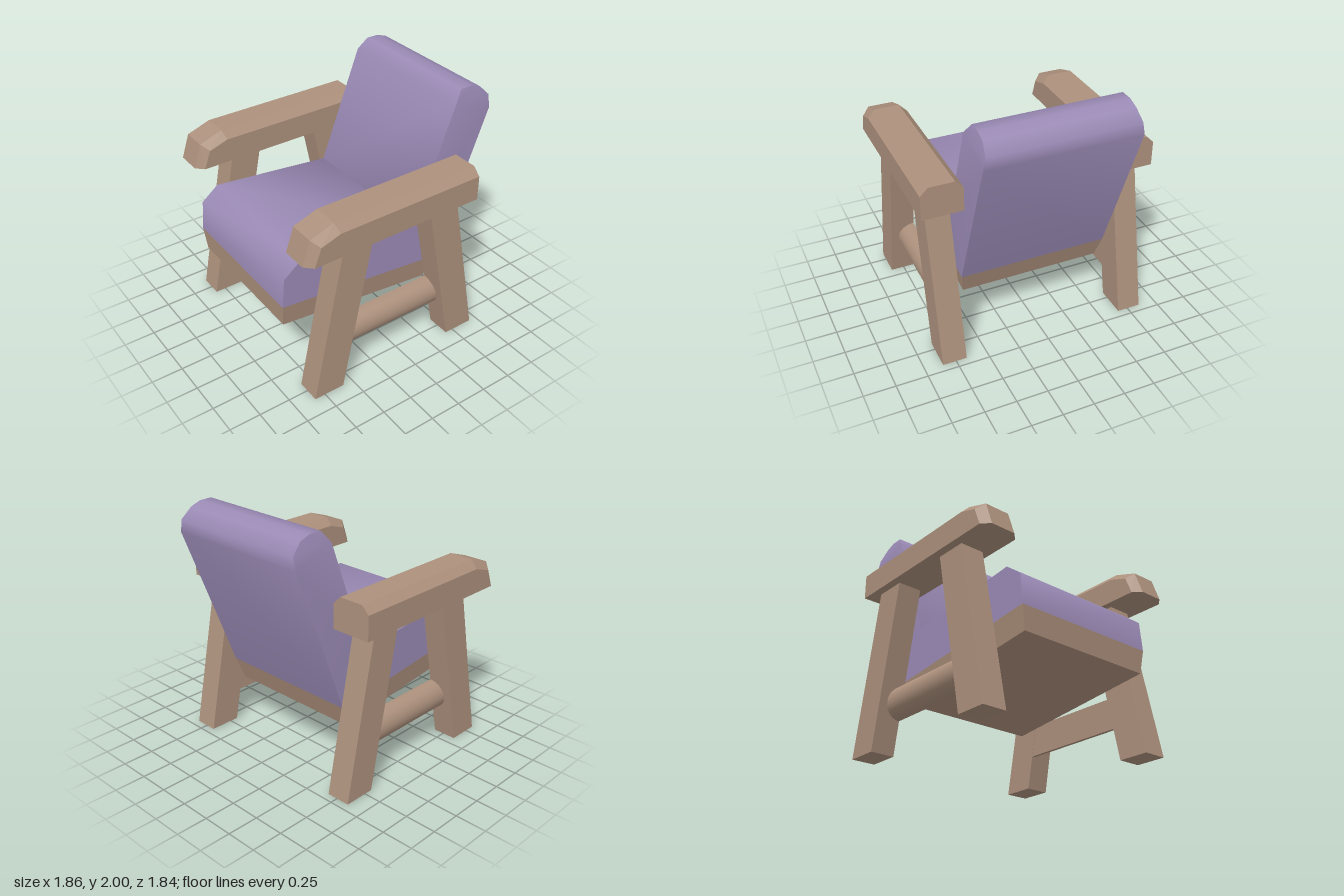
import * as THREE from 'three';
import { toCreasedNormals } from 'three/addons/utils/BufferGeometryUtils.js';
import { ConvexGeometry } from 'three/addons/geometries/ConvexGeometry.js';

const fabric = new THREE.MeshStandardMaterial({ name: 'lilac fabric', color: 0x9a8ab5 });
const wood = new THREE.MeshStandardMaterial({ name: 'brown wood', color: 0xac907c });

function addMesh(parent, name, geometry, material) {
  const mesh = new THREE.Mesh(geometry, material);
  mesh.name = name;
  parent.add(mesh);
  return mesh;
}

// Extrudes an x/y outline between two z positions
function slab(points, z0, z1) {
  const shape = new THREE.Shape(points.map(([x, y]) => new THREE.Vector2(x, y)));
  const g = new THREE.ExtrudeGeometry(shape, { depth: z1 - z0, bevelEnabled: false });
  return g.translate(0, 0, z0);
}

// Convex solid from [x, y, halfWidth] points mirrored about z = centre
function solid(points, centre = 0) {
  return new ConvexGeometry(points.flatMap(([x, y, w]) => [
    new THREE.Vector3(x, y, centre - w),
    new THREE.Vector3(x, y, centre + w),
  ]));
}

export function createModel() {
  const model = new THREE.Group();
  model.name = 'armchair';

  // Seat cushion with a rounded front edge
  const seat = slab([
    [-0.93, 0.75], [0.465, 0.6], [0.24, 0.995], [-0.77, 1.1], [-0.91, 0.99],
  ], -0.6, 0.6);
  addMesh(model, 'seatCushion', toCreasedNormals(seat, 0.95), fabric);

  // Leaning back cushion, rounded at the top with slightly cut corners
  const back = solid([
    [0.465, 0.6, 0.6], [0.24, 0.995, 0.6], [0.59, 1.91, 0.6],
    [0.66, 2, 0.565], [0.76, 2, 0.565], [0.845, 1.97, 0.565],
    [0.925, 1.89, 0.58], [0.925, 1.79, 0.6],
  ]);
  addMesh(model, 'backCushion', toCreasedNormals(back, 0.95), fabric);

  // Tapered wooden base under the seat
  addMesh(model, 'seatBase', solid([
    [-0.93, 0.75, 0.6], [0.465, 0.6, 0.6], [0.4, 0.42, 0.57], [-0.915, 0.565, 0.57],
  ]), wood);

  // Both side frames
  for (const side of [1, -1]) {
    const frame = new THREE.Group();
    frame.name = side > 0 ? 'leftFrame' : 'rightFrame';
    model.add(frame);

    // Armrest with chamfered top edges and front end
    addMesh(frame, 'armrest', solid([
      [0.57, 1.275, 0.16], [0.57, 1.47, 0.16], [0.57, 1.53, 0.1],
      [-0.665, 1.53, 0.1], [-0.855, 1.465, 0.1], [-0.92, 1.275, 0.1],
      [-0.86, 1.275, 0.16], [-0.805, 1.42, 0.16], [-0.65, 1.47, 0.16],
    ], side * 0.76), wood);

    // Slanted legs
    const zs = side > 0 ? [0.665, 0.857] : [-0.857, -0.665];
    addMesh(frame, 'frontLeg', slab([
      [-0.837, 0], [-0.585, 0], [-0.33, 1.275], [-0.582, 1.275],
    ], ...zs), wood);
    addMesh(frame, 'rearLeg', slab([
      [0.433, 0], [0.687, 0], [0.432, 1.275], [0.18, 1.275],
    ], ...zs), wood);

    // Half-round stretcher, flat on the inside
    const half = new THREE.Shape();
    half.absarc(0, 0, 0.125, -Math.PI / 2, Math.PI / 2, false);
    half.closePath();
    const bar = new THREE.ExtrudeGeometry(half, { depth: 1.05, bevelEnabled: false, curveSegments: 10 });
    bar.translate(0, 0, -0.525).rotateY(side > 0 ? -Math.PI / 2 : Math.PI / 2);
    bar.translate(-0.075, 0.385, side * 0.667);
    addMesh(frame, 'stretcher', toCreasedNormals(bar, 0.6), wood);
  }
  return model;
}
